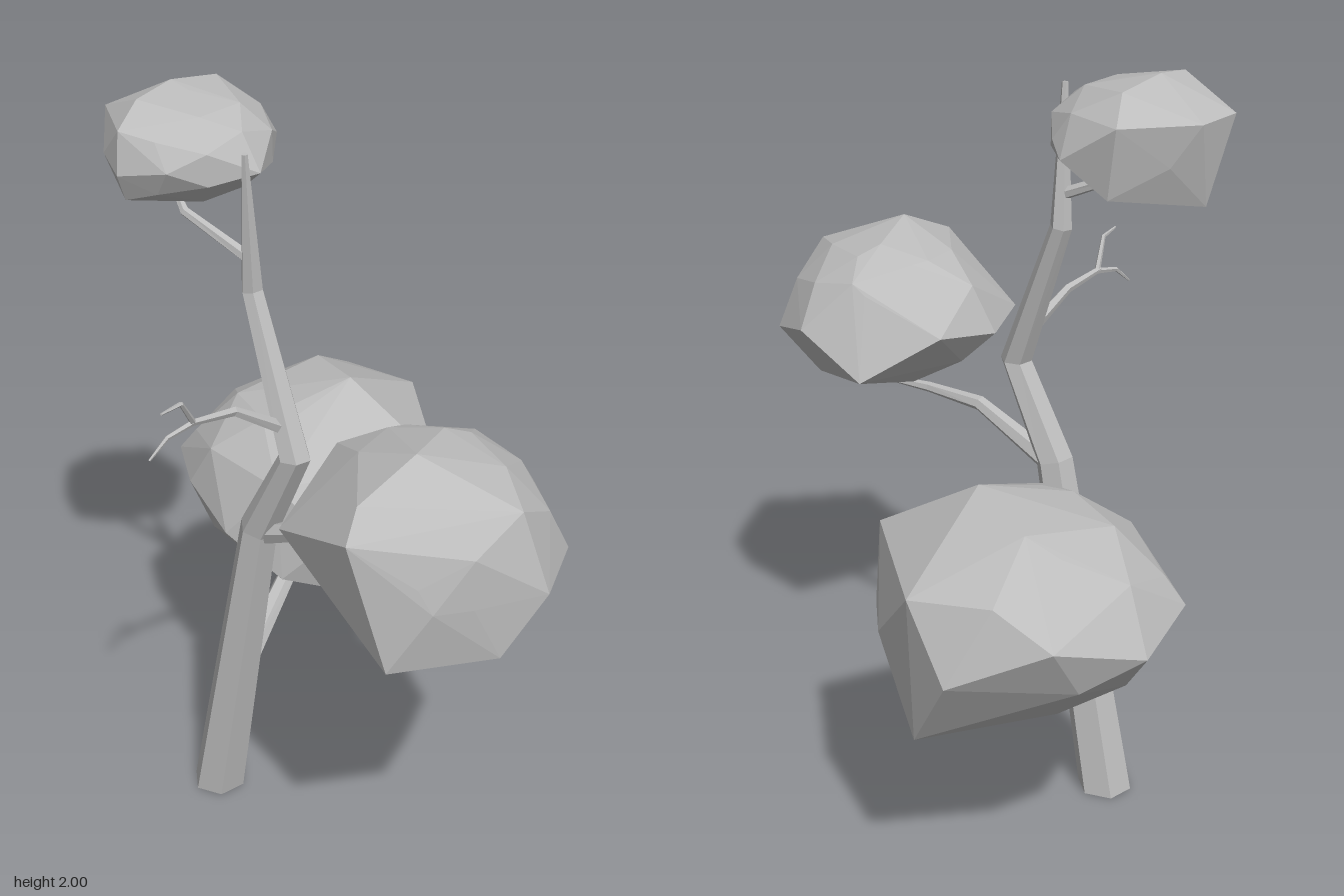
import * as THREE from 'three';
import { mergeVertices } from 'three/addons/utils/BufferGeometryUtils.js';
import { ConvexGeometry } from 'three/addons/geometries/ConvexGeometry.js';

const grey = new THREE.MeshStandardMaterial({ color: 0xbcbcbc, flatShading: true });
grey.name = 'plain grey';

const V = (p) => new THREE.Vector3(...p);
const UP = new THREE.Vector3(0, 1, 0);

function addMesh(parent, name, geometry) {
  const mesh = new THREE.Mesh(geometry, grey);
  mesh.name = name;
  parent.add(mesh);
}

// Tapered, faceted limb; each stop is [x, y, z, radius]
function limb(stops, sides = 6, levelBase = false) {
  const centres = stops.map((s) => V(s.slice(0, 3)));
  const last = stops.length - 1;
  const pos = [], index = [];
  centres.forEach((c, i) => {
    const before = centres[Math.max(i - 1, 0)], after = centres[Math.min(i + 1, last)];
    const dir = after.clone().sub(before).normalize();
    if (levelBase && i === 0) dir.copy(UP);
    const turn = new THREE.Quaternion().setFromUnitVectors(UP, dir);
    for (let j = 0; j < sides; j++) {
      const a = (j / sides) * Math.PI * 2 + 0.2;
      const p = new THREE.Vector3(Math.cos(a), 0, Math.sin(a)).multiplyScalar(stops[i][3]);
      pos.push(...p.applyQuaternion(turn).add(c).toArray());
    }
  });
  const foot = pos.length / 3;
  pos.push(...centres[0].toArray(), ...centres[last].toArray());
  for (let j = 0; j < sides; j++) {
    const k = (j + 1) % sides;
    for (let i = 0; i < last; i++) {
      const a = i * sides, b = a + sides;
      index.push(a + j, b + j, a + k, a + k, b + j, b + k);
    }
    index.push(foot, j, k, foot + 1, last * sides + k, last * sides + j);
  }
  const g = new THREE.BufferGeometry();
  g.setAttribute('position', new THREE.Float32BufferAttribute(pos, 3));
  g.setIndex(index);
  const flat = g.toNonIndexed();
  flat.computeVertexNormals();
  return flat;
}

// Faceted boulder shape: a small ellipsoid wrapped together with outlying corners
function clump(centre, radii, corners) {
  const ball = new THREE.IcosahedronGeometry(1, 1);
  ball.deleteAttribute('normal');
  ball.deleteAttribute('uv');
  const p = mergeVertices(ball, 1e-3).attributes.position;
  const points = corners.map(V);
  for (let i = 0; i < p.count; i++) {
    points.push(new THREE.Vector3().fromBufferAttribute(p, i).multiply(V(radii)).add(V(centre)));
  }
  return new ConvexGeometry(points);
}

export function createModel() {
  const tree = new THREE.Group();
  tree.name = 'tree';

  // Leaning trunk with a forward bend
  addMesh(tree, 'trunk', limb([
    [-0.238, 0, -0.335, 0.074], [-0.24, 0.93, -0.14, 0.05], [-0.24, 1.18, -0.012, 0.042],
    [-0.215, 1.57, -0.16, 0.028], [-0.245, 1.92, -0.14, 0.008],
  ], 6, true));

  // Branches carrying the leaf clumps
  addMesh(tree, 'lowerBranch', limb([
    [-0.22, 0.43, -0.24, 0.033], [0.05, 0.61, -0.3, 0.024], [0.18, 0.72, -0.36, 0.014],
  ]));
  addMesh(tree, 'frontBranch', limb([
    [-0.24, 0.92, -0.12, 0.03], [-0.245, 1.02, 0.11, 0.02], [-0.24, 1.025, 0.28, 0.014], [-0.22, 1.025, 0.43, 0.007],
  ]));
  addMesh(tree, 'upperBranch', limb([
    [-0.22, 1.65, -0.155, 0.016], [-0.25, 1.73, -0.34, 0.012], [-0.22, 1.8, -0.42, 0.007],
  ]));

  // Bare forked twig
  addMesh(tree, 'twig', limb([
    [-0.24, 1.25, -0.04, 0.018], [-0.38, 1.345, -0.07, 0.012], [-0.51, 1.365, -0.08, 0.008],
  ], 5));
  addMesh(tree, 'twigUpperFork', limb([
    [-0.5, 1.36, -0.08, 0.008], [-0.555, 1.44, -0.06, 0.006], [-0.625, 1.446, -0.05, 0.003],
  ], 5));
  addMesh(tree, 'twigLowerFork', limb([
    [-0.5, 1.363, -0.08, 0.008], [-0.575, 1.35, -0.09, 0.006], [-0.625, 1.308, -0.1, 0.003],
  ], 5));

  // Leaf clumps
  addMesh(tree, 'lowerLeaves', clump([0.23, 0.81, -0.4], [0.345, 0.25, 0.335], [
    [0.28, 1.095, -0.29], [0.37, 1.06, -0.49], [0.54, 0.96, -0.53], [0.08, 1.03, -0.33],
    [0.315, 0.93, -0.015], [0.17, 0.81, -0.05], [0.42, 0.78, -0.09], [0.24, 0.535, -0.06],
    [-0.03, 0.81, -0.08], [0.03, 0.62, -0.075], [-0.1, 0.67, -0.2], [-0.155, 0.78, -0.35],
    [-0.09, 0.94, -0.22], [0.595, 0.94, -0.33], [0.625, 0.77, -0.46], [0.56, 0.55, -0.32],
    [0.39, 0.51, -0.31], [0.49, 0.75, -0.155], [0.28, 0.8, -0.77], [0.04, 0.82, -0.72],
    [0.505, 0.88, -0.67],
  ]));
  addMesh(tree, 'frontLeaves', clump([-0.29, 1.21, 0.45], [0.265, 0.205, 0.285], [
    [-0.605, 1.31, 0.475], [-0.38, 1.44, 0.48], [-0.21, 1.41, 0.42], [-0.07, 1.34, 0.4],
    [-0.54, 1.37, 0.45], [-0.25, 1.38, 0.29], [-0.3, 1.32, 0.18], [-0.3, 1.35, 0.71],
    [-0.56, 0.99, 0.55], [-0.41, 0.965, 0.56], [-0.36, 1, 0.71], [-0.27, 1.15, 0.768],
    [-0.09, 1.15, 0.69], [-0.1, 1.05, 0.55], [0.015, 1.21, 0.51], [0, 1.1, 0.32],
    [-0.14, 1.22, 0.16], [-0.33, 1.19, 0.125], [-0.52, 1.2, 0.2], [-0.5, 1.15, 0.63],
  ]));
  addMesh(tree, 'topLeaves', clump([-0.16, 1.86, -0.4], [0.215, 0.127, 0.2], [
    [-0.16, 2, -0.46], [-0.02, 1.98, -0.45], [-0.28, 1.985, -0.45], [0.06, 1.92, -0.49],
    [0.07, 1.83, -0.35], [-0.39, 1.84, -0.41], [-0.37, 1.94, -0.42], [-0.16, 1.84, -0.175],
    [-0.09, 1.92, -0.618], [-0.23, 1.92, -0.618], [-0.16, 1.715, -0.595], [-0.36, 1.77, -0.42],
    [0.04, 1.75, -0.46], [-0.1, 1.745, -0.36],
  ]));

  return tree;
}
